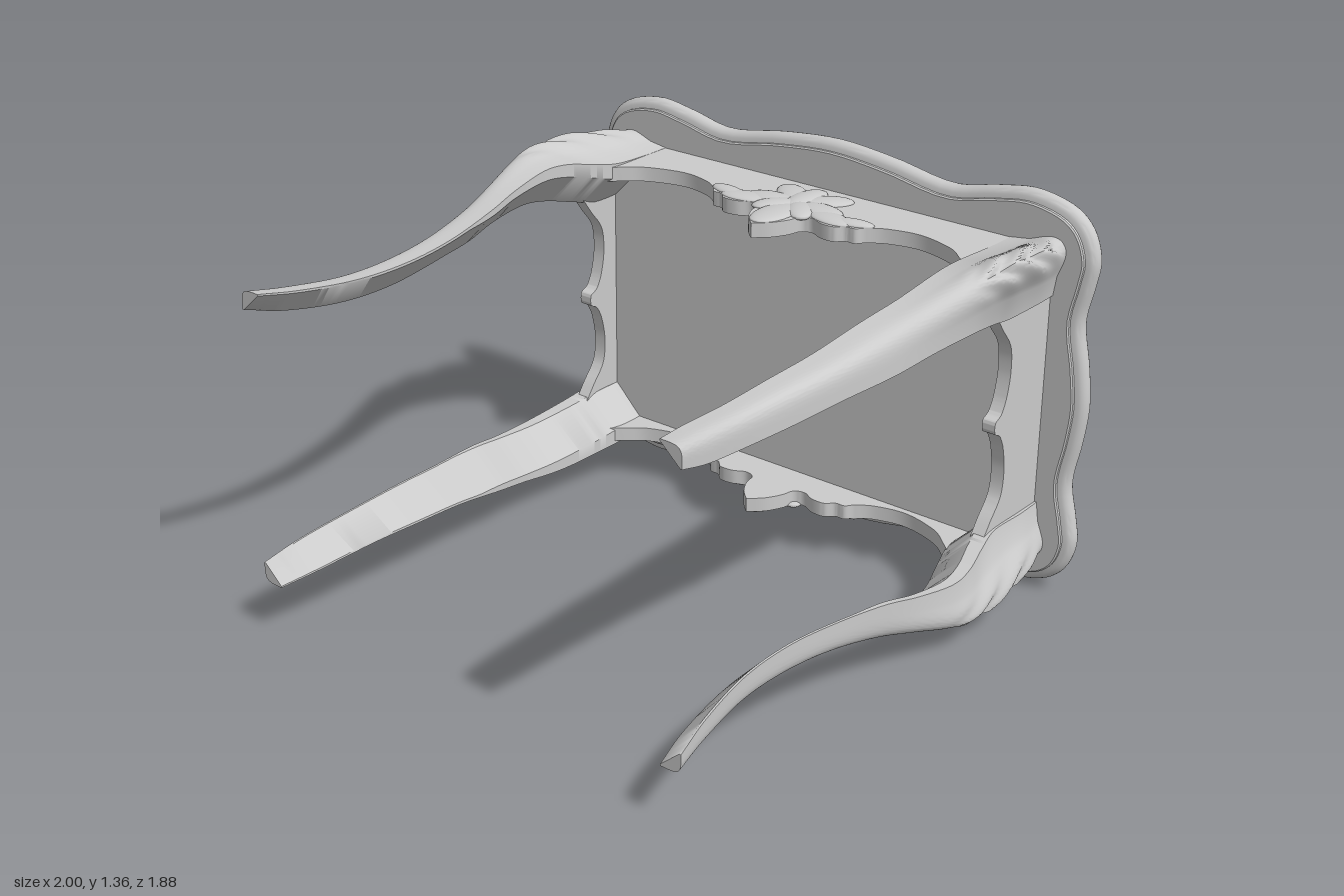
import * as THREE from 'three';
import { toCreasedNormals } from 'three/addons/utils/BufferGeometryUtils.js';

const material = new THREE.MeshStandardMaterial({ color: 0xcccccc });

function addMesh(parent, geometry, name) {
  const mesh = new THREE.Mesh(geometry, material);
  mesh.name = name;
  parent.add(mesh);
  return mesh;
}

// Skin over counter-clockwise rings stacked along +z, closed at both ends
function loft(rings, crease) {
  const n = rings[0].length, last = rings.length - 1;
  const pos = rings.flat().flatMap((p) => [p.x, p.y, p.z]);
  const index = [];
  for (let i = 0; i < last; i++) {
    for (let j = 0; j < n; j++) {
      const k = (j + 1) % n;
      const a = i * n + j, b = i * n + k, c = b + n, d = a + n;
      index.push(a, b, c, a, c, d);
    }
  }
  for (const [r, top] of [[0, false], [last, true]]) {
    const mid = rings[r].reduce((s, p) => s.add(p), new THREE.Vector3()).divideScalar(n);
    const m = pos.length / 3;
    pos.push(mid.x, mid.y, mid.z);
    for (let j = 0; j < n; j++) {
      const a = r * n + j, b = r * n + (j + 1) % n;
      if (top) index.push(m, a, b); else index.push(m, b, a);
    }
  }
  const g = new THREE.BufferGeometry();
  g.setAttribute('position', new THREE.Float32BufferAttribute(pos, 3));
  g.setIndex(index);
  return toCreasedNormals(g, crease);
}

// Wavy table top with a rounded rim between two flat fillets
function tableTop() {
  const q = [[1, 0], [0.987, 0.13], [0.962, 0.28], [0.985, 0.4], [0.997, 0.49], [0.965, 0.585],
    [0.9, 0.643], [0.76, 0.676], [0.62, 0.658], [0.457, 0.627], [0.22, 0.662], [0, 0.68]];
  const half = [...q, ...q.slice(0, -1).reverse().map(([x, y]) => [-x, y])];
  const all = [...half, ...half.slice(1, -1).reverse().map(([x, y]) => [x, -y])];
  const curve = new THREE.CatmullRomCurve3(all.map(([x, y]) => new THREE.Vector3(x, y, 0)), true);
  const N = 192;
  const profile = [[0.04, -0.944], [0.035, -0.94], [0.035, -0.928]];
  for (let i = 0; i <= 10; i++) {
    const a = (i / 10 - 0.5) * Math.PI;
    profile.push([0.031 - 0.031 * Math.cos(a), -0.898 + 0.031 * Math.sin(a)]);
  }
  profile.push([0.035, -0.866], [0.035, -0.857], [0.04, -0.853]);
  const rings = profile.map(([inset, z]) => Array.from({ length: N }, (_, j) => {
    const p = curve.getPoint(j / N), t = curve.getTangent(j / N);
    return new THREE.Vector3(p.x - t.y * inset, p.y + t.x * inset, z);
  }));
  return loft(rings, 0.6);
}

// Cabriole leg: flat diagonal inner face, full rounded outer corner
const STATIONS = [ // z, outer x, inner x, outer y, inner y, drop down to the apron faces
  [-0.853, 0.915, 0.7, 0.566, 0.36, 0.05], [-0.75, 0.934, 0.7, 0.582, 0.36, 0.066],
  [-0.6, 0.95, 0.7, 0.608, 0.36, 0.085], [-0.5, 0.952, 0.722, 0.61, 0.382, 0.07],
  [-0.4, 0.949, 0.75, 0.604, 0.405, 0.045], [-0.3, 0.934, 0.762, 0.585, 0.413, 0.025],
  [-0.15, 0.894, 0.753, 0.542, 0.398, 0.008], [0, 0.858, 0.73, 0.504, 0.373, 0],
  [0.2, 0.825, 0.712, 0.469, 0.358, 0], [0.4, 0.805, 0.703, 0.454, 0.349, 0],
  [0.6, 0.803, 0.714, 0.454, 0.358, 0], [0.8, 0.825, 0.74, 0.474, 0.388, 0],
  [0.94, 0.847, 0.773, 0.494, 0.428, 0]];

function leg(sx, sy) {
  const spline = (a, b) => new THREE.CatmullRomCurve3(
    STATIONS.map((s) => new THREE.Vector3(s[0], s[a], s[b])), false, 'catmullrom', 0.5);
  const xs = spline(1, 2), ys = spline(3, 4), drops = spline(5, 5);
  const rings = [];
  const STEPS = 96, ARC = 28;
  for (let i = 0; i <= STEPS; i++) {
    const { x: z, y: xo, z: xi } = xs.getPoint(i / STEPS);
    const { y: yo, z: yi } = ys.getPoint(i / STEPS);
    const drop = drops.getPoint(i / STEPS).y;
    const w = xo - xi, h = yo - yi;
    // leaf carving fades in and out over the knee
    const fade = THREE.MathUtils.smoothstep(z, -0.85, -0.75) * (1 - THREE.MathUtils.smoothstep(z, -0.42, -0.28));
    // edge of the flat inner face on the apron side
    const ring = [new THREE.Vector3(sx * xi, sy * (yi + Math.min(0.11, 0.92 * h)), z)];
    for (let j = 0; j <= ARC; j++) {
      const u = j / ARC, a = u * Math.PI / 2;
      const carve = 1 + fade * 0.035 * Math.sin(u * Math.PI)
        * Math.sin(Math.abs(u - 0.5) * 18 + z * 34);
      const x = xi + w * Math.pow(Math.sin(a), 0.4) * carve - drop * u ** 6;
      const y = yi + h * Math.pow(Math.max(Math.cos(a), 0), 0.4) * carve - drop * (1 - u) ** 6;
      ring.push(new THREE.Vector3(sx * x, sy * y, z));
    }
    ring.push(new THREE.Vector3(sx * (xi + Math.min(0.11, 0.92 * w)), sy * yi, z));
    if (sx * sy > 0) ring.reverse();
    rings.push(ring);
  }
  return loft(rings, 0.75);
}

// Apron board from a half edge profile (centre to end), outer face on local z = 0
function apron(halfEdge, end, outer, thickness) {
  const pts = new THREE.SplineCurve(halfEdge.map((p) => new THREE.Vector2(...p))).getPoints(70);
  pts.push(new THREE.Vector2(end, pts[pts.length - 1].y), new THREE.Vector2(end, -0.853));
  const mirrored = pts.slice(1).reverse().map((p) => new THREE.Vector2(-p.x, p.y));
  const g = new THREE.ExtrudeGeometry(new THREE.Shape([...mirrored, ...pts]),
    { depth: thickness, bevelEnabled: false });
  const board = new THREE.Group();
  addMesh(board, toCreasedNormals(g, 0.6), 'apronBoard');
  board.rotation.x = Math.PI / 2;
  board.position.y = outer;
  return board;
}

const LONG_EDGE = [[0, -0.436], [0.045, -0.48], [0.075, -0.535], [0.088, -0.582], [0.125, -0.596],
  [0.17, -0.575], [0.22, -0.574], [0.25, -0.6], [0.285, -0.603], [0.31, -0.632], [0.37, -0.668],
  [0.48, -0.687], [0.61, -0.65], [0.68, -0.595], [0.74, -0.54]];
const SHORT_EDGE = [[0, -0.572], [0.02, -0.577], [0.031, -0.598], [0.045, -0.612], [0.09, -0.632],
  [0.17, -0.646], [0.257, -0.635], [0.33, -0.58], [0.4, -0.53]];

// Carved leaves: x, z, half length, half width, relief, angle
const LEAVES = [[0, -0.56, 0.11, 0.06, 0.014, Math.PI / 2], [0, -0.73, 0.1, 0.05, 0.02, Math.PI / 2],
  [0.05, -0.63, 0.08, 0.045, 0.017, 0.9], [0.07, -0.75, 0.09, 0.05, 0.015, -0.7],
  [0.1, -0.67, 0.09, 0.05, 0.016, 0.1], [0.17, -0.63, 0.09, 0.045, 0.013, 0.2],
  [0.25, -0.64, 0.075, 0.032, 0.013, -0.2]];

function carveLeaves(board) {
  for (const [x, z, length, width, relief, angle] of LEAVES) {
    for (const s of x === 0 ? [1] : [1, -1]) {
      const leaf = addMesh(board, new THREE.SphereGeometry(1, 20, 12), 'carvedLeaf');
      leaf.scale.set(length, width, relief);
      leaf.position.set(s * x, z, 0);
      leaf.rotation.z = s * angle;
    }
  }
}

export function createModel() {
  const table = new THREE.Group();
  table.name = 'table';
  table.position.y = 0.68; // lies on its side, legs towards the front
  addMesh(table, tableTop(), 'tableTop');

  // panel closing the frame between the aprons
  addMesh(table, new THREE.BoxGeometry(1.64, 0.96, 0.14), 'innerPanel').position.z = -0.78;

  for (const sx of [1, -1]) {
    for (const sy of [1, -1]) addMesh(table, leg(sx, sy), 'leg');
  }

  for (const s of [0, 1]) {
    const long = new THREE.Group();
    long.name = 'longApron';
    const longBoard = apron(LONG_EDGE, 0.8, 0.515, 0.05);
    carveLeaves(longBoard);
    long.add(longBoard);
    long.rotation.z = s * Math.PI;

    const short = new THREE.Group();
    short.name = 'shortApron';
    short.add(apron(SHORT_EDGE, 0.47, 0.857, 0.047));
    short.rotation.z = Math.PI / 2 + s * Math.PI;
    table.add(long, short);
  }
  return table;
}
